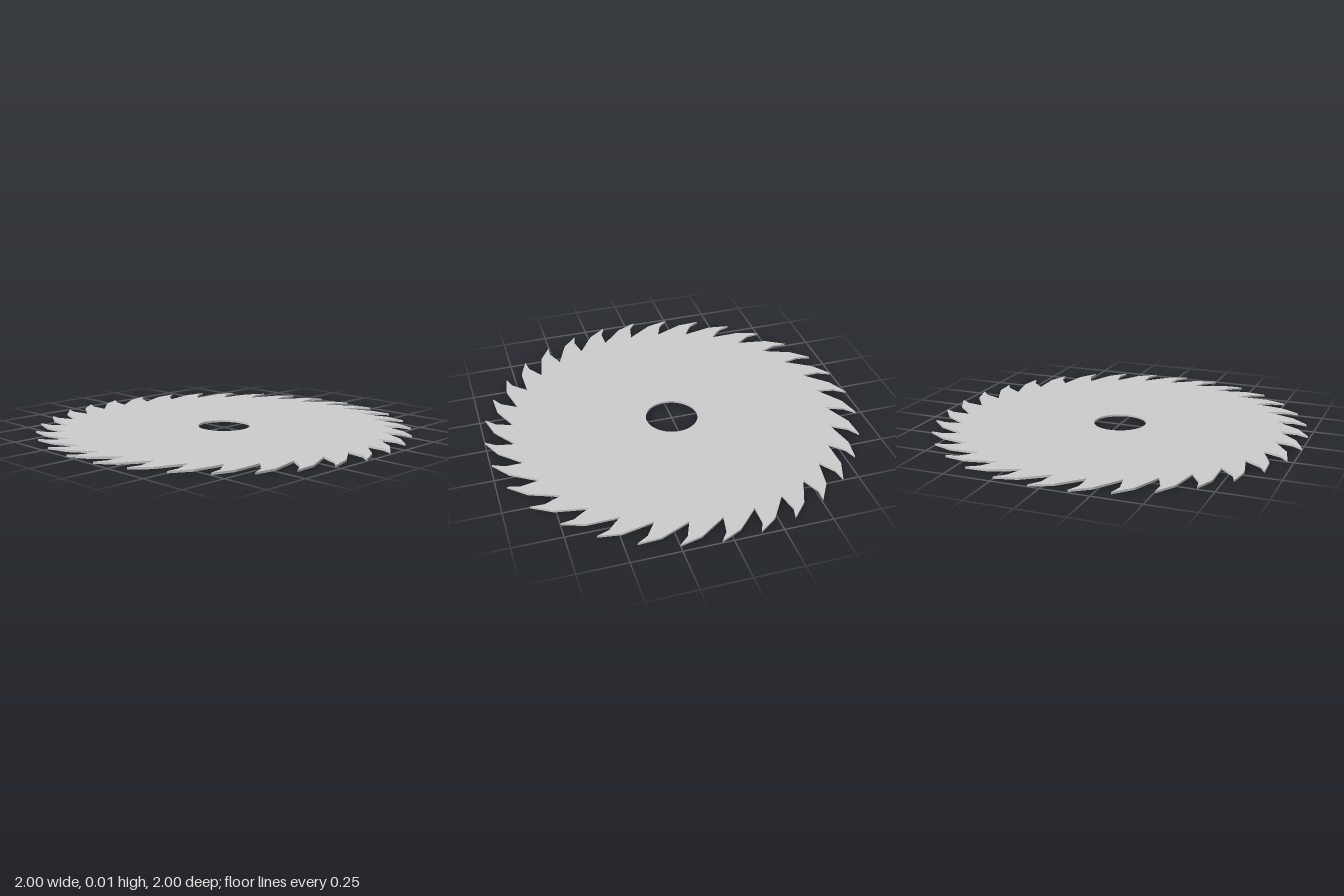
import * as THREE from 'three';

const TEETH = 32;
const THICKNESS = 0.011;
const BORE_RADIUS = 0.14;

// One tooth as [radius, degrees from its gullet]: back, tip, hooked face, gullet
const TOOTH = [[0.95, -3], [1.002, 3.4], [0.945, 1.15], [0.845, 0]];

export function createModel() {
  const group = new THREE.Group();
  group.name = 'circularSawBlade';

  // Toothed outline, running clockwise seen from above
  const outline = [];
  for (let i = 0; i < TEETH; i++) {
    for (const [r, deg] of TOOTH) {
      const a = (i / TEETH) * Math.PI * 2 + THREE.MathUtils.degToRad(deg);
      outline.push(new THREE.Vector2(r * Math.sin(a), r * Math.cos(a)));
    }
  }
  const shape = new THREE.Shape(outline);

  // Round arbor hole
  const bore = new THREE.Path();
  bore.absarc(0, 0, BORE_RADIUS, 0, Math.PI * 2, false);
  shape.holes.push(bore);

  // Flat plate laid on the ground
  const geometry = new THREE.ExtrudeGeometry(shape, {
    depth: THICKNESS, bevelEnabled: false, curveSegments: 32,
  });
  geometry.rotateX(-Math.PI / 2);

  const blade = new THREE.Mesh(geometry, new THREE.MeshStandardMaterial({ color: 0xcccccc }));
  blade.name = 'toothedBlade';
  group.add(blade);
  return group;
}
